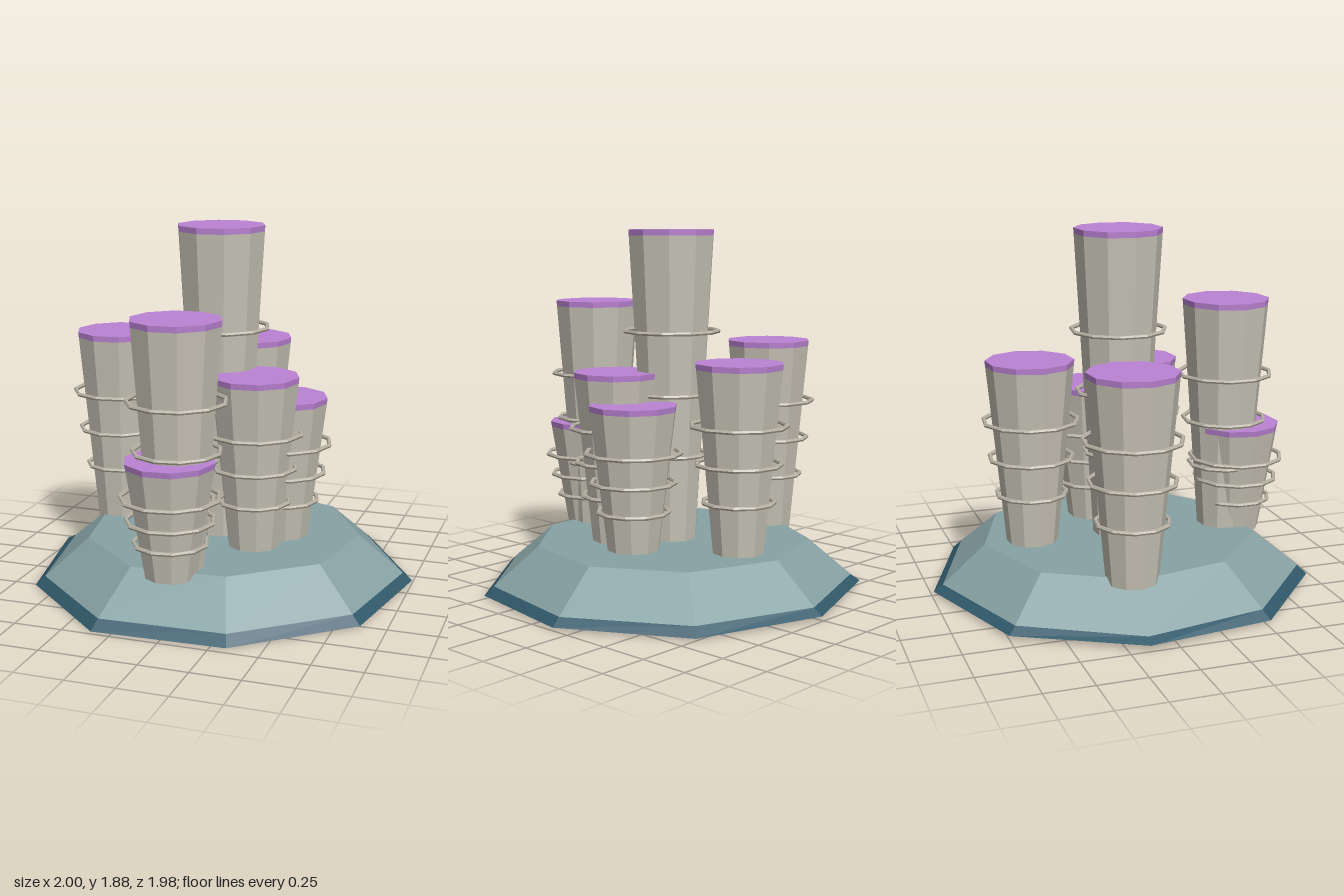
import * as THREE from 'three';

const mat = (name, color) => {
  const m = new THREE.MeshStandardMaterial({ color });
  m.name = name;
  return m;
};

// Outline of the nine-sided base: x, y, z of each corner
const OUTLINE = [
  [0, 0.02, -0.99], [0.65, 0.01, -0.75], [1, 0.015, -0.15],
  [0.87, 0.01, 0.52], [0.33, 0.005, 0.96], [-0.35, 0.005, 0.985],
  [-0.87, 0.01, 0.53], [-1, 0.03, -0.15], [-0.66, 0.02, -0.75],
];
const layer = (scale, y, keep = 0) => OUTLINE.map(([x, dy, z]) => [x * scale, y + dy * keep, z * scale]);

// Band of faces between two outlines
function band(lower, upper) {
  const out = [];
  lower.forEach((a, i) => {
    const j = (i + 1) % lower.length;
    out.push(lower[j], a, upper[i], lower[j], upper[i], upper[j]);
  });
  return out;
}

// Fan closing an outline, facing up or down
function fan(ring, y, up) {
  const out = [];
  ring.forEach((a, i) => {
    const b = ring[(i + 1) % ring.length];
    out.push([0, y, 0], ...(up ? [b, a] : [a, b]));
  });
  return out;
}

function faces(name, points, material) {
  const g = new THREE.BufferGeometry();
  g.setAttribute('position', new THREE.Float32BufferAttribute(points.flat(), 3));
  g.computeVertexNormals();
  const mesh = new THREE.Mesh(g, material);
  mesh.name = name;
  return mesh;
}

// Tapered low-poly prism section from y0 to y1
const SIDES = 10;
const TURN = THREE.MathUtils.degToRad(-14);
function section(name, r0, r1, y0, y1, material) {
  const g = new THREE.CylinderGeometry(r1, r0, y1 - y0, SIDES, 1).toNonIndexed();
  g.rotateY(TURN);
  g.computeVertexNormals();
  const mesh = new THREE.Mesh(g, material);
  mesh.name = name;
  mesh.position.y = (y0 + y1) / 2;
  return mesh;
}

export function createModel() {
  const stone = mat('seaStone', 0x87a2a4);
  const rim = mat('darkTeal', 0x31596a);
  const tubeMat = mat('paleTube', 0xc6c2b5);
  const ringMat = mat('ringBeige', 0xb9b3a5);
  const capMat = mat('purpleCap', 0xbc83d4);
  const model = new THREE.Group();
  model.name = 'tubeCluster';

  // Base: dark rim and underside, then sloped stone with a flat top
  const outer = layer(1, 0, 1);
  const shoulder = layer(0.95, 0.055);
  const top = layer(0.72, 0.25);
  model.add(faces('baseRim', [...band(outer, shoulder), ...fan(outer, 0, false)], rim));
  model.add(faces('baseSlope', [...band(shoulder, top), ...fan(top, 0.25, true)], stone));

  // Tubes: x, z, top height
  const BOTTOM = 0.22, R0 = 0.132, R1 = 0.23, CAP = 0.03;
  const tubes = [
    [-0.01, 0.02, 1.88], [-0.04, 0.61, 1.49], [-0.645, -0.12, 1.275],
    [0, -0.455, 1.22], [0.225, 0.19, 1.145], [0.32, -0.02, 1.0], [-0.05, 0.68, 0.81],
  ];
  // Rings: fraction of tube height, centre-line radius
  const rings = [[0.683, 0.247], [0.487, 0.219], [0.291, 0.184]];

  tubes.forEach(([x, z, h], i) => {
    const tube = new THREE.Group();
    tube.name = `tube${i + 1}`;
    tube.position.set(x, 0, z);
    const rCap = R1 - (R1 - R0) * CAP / (h - BOTTOM);
    tube.add(section('tubeBody', R0, rCap, BOTTOM, h - CAP, tubeMat));
    tube.add(section('tubeCap', rCap, R1, h - CAP, h, capMat));
    for (const [f, r] of rings) {
      const g = new THREE.TorusGeometry(r, 0.011, 6, 11).toNonIndexed();
      g.rotateX(Math.PI / 2);
      g.computeVertexNormals();
      const ring = new THREE.Mesh(g, ringMat);
      ring.name = 'tubeRing';
      ring.position.y = BOTTOM + f * (h - BOTTOM);
      tube.add(ring);
    }
    model.add(tube);
  });
  return model;
}
